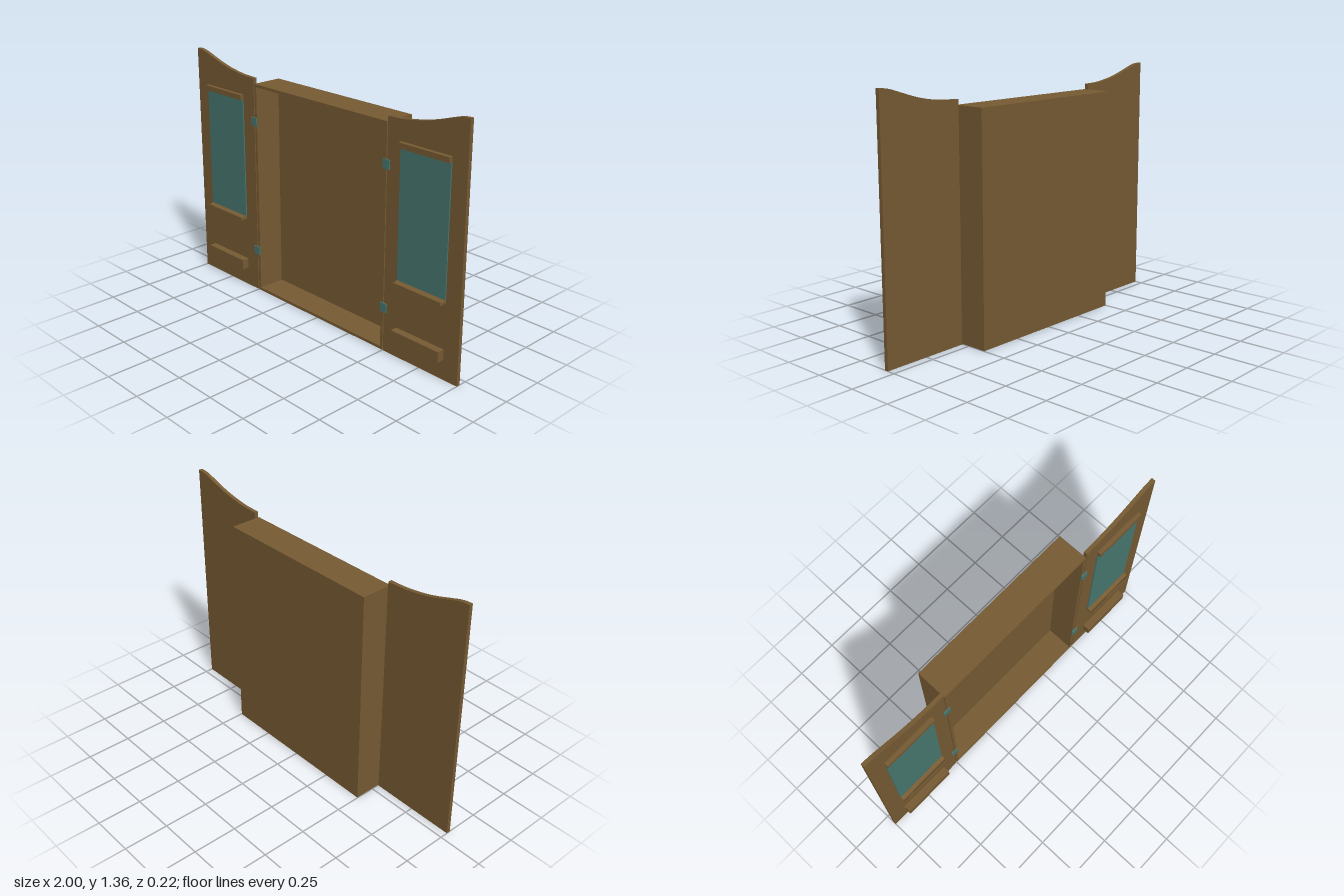
import * as THREE from 'three';

export function createModel() {
  const model = new THREE.Group();
  model.name = 'cabinetWithDoors';
  const wood = new THREE.MeshStandardMaterial({ color: 0x775b33 });
  wood.name = 'brown wood';
  const teal = new THREE.MeshStandardMaterial({ color: 0x48776f });
  teal.name = 'teal panel';

  const FRONT = 0.066; // front plane of the cabinet and doors

  // Box given by its limits on each axis
  function box(name, x0, x1, y0, y1, z0, z1, material, parent) {
    const mesh = new THREE.Mesh(new THREE.BoxGeometry(x1 - x0, y1 - y0, z1 - z0), material);
    mesh.position.set((x0 + x1) / 2, (y0 + y1) / 2, (z0 + z1) / 2);
    mesh.name = name;
    parent.add(mesh);
  }

  // Rail with a (z, y) profile, running along x from x0 to x1
  function rail(name, profile, x0, x1, parent) {
    const shape = new THREE.Shape(profile.map(([z, y]) => new THREE.Vector2(-z, y)));
    const geometry = new THREE.ExtrudeGeometry(shape, { depth: x1 - x0, bevelEnabled: false });
    geometry.rotateY(Math.PI / 2).translate(x0, 0, 0);
    const mesh = new THREE.Mesh(geometry, wood);
    mesh.name = name;
    parent.add(mesh);
  }

  // Open-fronted cabinet
  const cabinet = new THREE.Group();
  cabinet.name = 'cabinet';
  model.add(cabinet);
  const W = 0.498, H = 1.24, T = 0.016, BACK = -0.11;
  box('cabinetBack', -W, W, 0, H, BACK, BACK + T, wood, cabinet);
  const frame = new THREE.Shape([[-W, 0], [W, 0], [W, H], [-W, H]].map(p => new THREE.Vector2(...p)));
  frame.holes.push(new THREE.Path(
    [[-W + T, T], [-W + T, H - T], [W - T, H - T], [W - T, T]].map(p => new THREE.Vector2(...p))));
  const walls = new THREE.Mesh(
    new THREE.ExtrudeGeometry(frame, { depth: FRONT - BACK - T, bevelEnabled: false }), wood);
  walls.position.z = BACK + T;
  walls.name = 'cabinetWalls';
  cabinet.add(walls);

  // Opened doors, one on each side
  for (const side of [-1, 1]) {
    const door = new THREE.Group();
    door.name = side > 0 ? 'leftDoor' : 'rightDoor';
    model.add(door);
    const span = (a, b) => (side > 0 ? [a, b] : [-b, -a]);

    // Door leaf with a curved top
    const leaf = new THREE.Shape();
    leaf.moveTo(side * 0.504, 0);
    leaf.lineTo(side, 0);
    leaf.lineTo(side, 1.36);
    leaf.splineThru([[0.965, 1.358], [0.93, 1.351], [0.875, 1.334], [0.795, 1.309], [0.715, 1.29],
      [0.607, 1.274], [0.504, 1.27]].map(([x, y]) => new THREE.Vector2(side * x, y)));
    const panel = new THREE.Mesh(
      new THREE.ExtrudeGeometry(leaf, { depth: 0.022, bevelEnabled: false, curveSegments: 24 }), wood);
    panel.position.z = FRONT - 0.022;
    panel.name = 'doorLeaf';
    door.add(panel);

    // Teal board between its two rails
    const [x0, x1] = span(0.594, 0.908);
    box('board', x0, x1, 0.43, 1.14, FRONT, 0.073, teal, door);
    rail('topRail', [[FRONT, 1.135], [0.073, 1.135], [0.075, 1.133], [0.089, 1.133], [0.089, 1.162],
      [FRONT, 1.162]], x0, x1, door);
    rail('tray', [[FRONT, 0.418], [0.11, 0.418], [0.11, 0.437], [0.105, 0.437], [0.1, 0.431],
      [0.092, 0.429], [0.083, 0.434], [0.077, 0.438], [FRONT, 0.438]], x0, x1, door);

    // Block near the foot of the door
    box('lowerBlock', x0, x1, 0.11, 0.168, FRONT, 0.108, wood, door);

    // Hinges across the gap
    const [h0, h1] = span(0.48, 0.524);
    for (const y of [0.25, 1.025]) {
      box('hinge', h0, h1, y - 0.025, y + 0.025, FRONT, 0.073, teal, door);
    }
  }
  return model;
}
